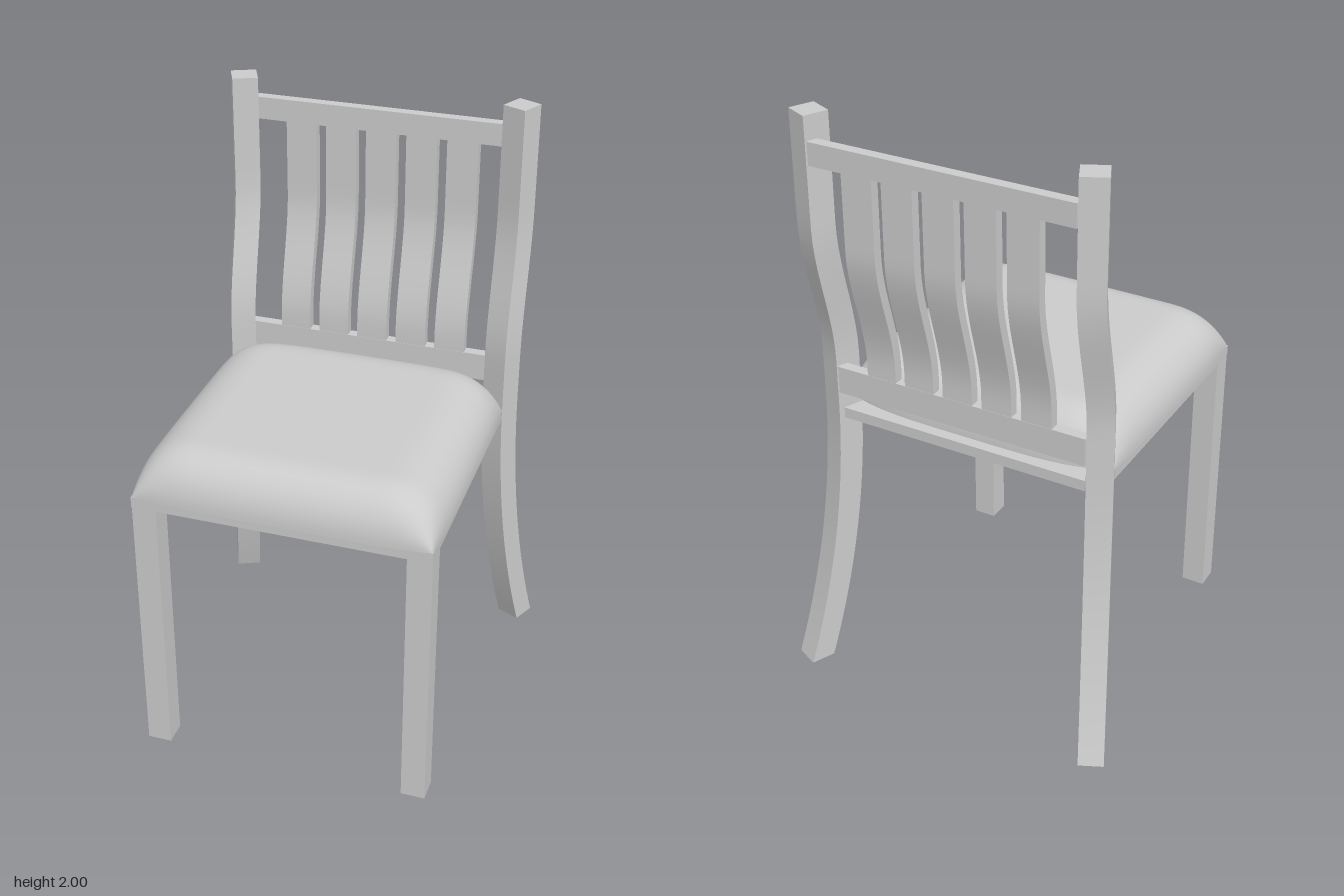
import * as THREE from 'three';

const material = new THREE.MeshStandardMaterial({ color: 0xcccccc, side: THREE.DoubleSide });

function addMesh(parent, name, geometry, x = 0, y = 0, z = 0) {
  const mesh = new THREE.Mesh(geometry, material);
  mesh.name = name;
  mesh.position.set(x, y, z);
  parent.add(mesh);
  return mesh;
}

// Move every vertex by a rule, then rebuild normals (box edges stay sharp)
function reshape(geometry, rule) {
  const p = geometry.attributes.position;
  const v = new THREE.Vector3();
  for (let i = 0; i < p.count; i++) {
    rule(v.fromBufferAttribute(p, i));
    p.setXYZ(i, v.x, v.y, v.z);
  }
  geometry.computeVertexNormals();
  return geometry;
}

// Rear leg and back post in one: splays out below the seat, leans back above it
function rearLeg(side) {
  const angle = 0.43;
  const geometry = new THREE.BoxGeometry(0.084, 2, 0.084, 1, 40, 1);
  geometry.rotateY(-side * angle).translate(side * 0.4655, 1, -0.3705);
  return reshape(geometry, (v) => {
    const splay = 0.17 * Math.max(0, 1 - v.y) ** 2;
    const lean = 0.082 * THREE.MathUtils.smoothstep(v.y, 1.15, 1.65);
    v.x += side * splay * Math.sin(angle);
    v.z -= splay * Math.cos(angle) + lean;
  });
}

// Thin slat with an S curve from the lower rail to the upper rail
function slat() {
  const geometry = new THREE.BoxGeometry(0.104, 0.75, 0.034, 1, 24, 1).translate(0, 1.485, -0.408);
  return reshape(geometry, (v) => {
    v.z -= 0.08 * THREE.MathUtils.smoothstep(v.y, 1.17, 1.6);
  });
}

// Seat board with its rear corners notched around the posts
function seatBoard() {
  const half = [[0.485, 0.565], [0.485, -0.315], [0.41, -0.35], [0.435, -0.412]];
  const outline = [...half, ...half.map(([x, z]) => [-x, z]).reverse()];
  const shape = new THREE.Shape(outline.map(([x, z]) => new THREE.Vector2(x, -z)));
  return new THREE.ExtrudeGeometry(shape, { depth: 0.037, bevelEnabled: false }).rotateX(-Math.PI / 2);
}

// Domed cushion: flat top, rounded borders and slightly bowed sides
function cushion() {
  const round = (distance, width) => {
    const t = Math.min(1, distance / width);
    return Math.max(0, 1 - (1 - t) ** 2.3) ** (1 / 2.1);
  };
  const geometry = new THREE.PlaneGeometry(2, 2, 56, 56).rotateX(-Math.PI / 2);
  return reshape(geometry, (v) => {
    const u = Math.sin(v.x * Math.PI / 2);
    const w = Math.sin(v.z * Math.PI / 2);
    const halfWidth = 0.483 + 0.011 * (1 - w ** 4);
    const front = 0.563 + 0.014 * (1 - u ** 4);
    const back = -0.318 - 0.057 * (1 - u ** 4);
    v.x = u * halfWidth;
    v.z = THREE.MathUtils.lerp(back, front, (w + 1) / 2);
    const sides = round(halfWidth - Math.abs(v.x), 0.19);
    const ends = round(front - v.z, 0.15) * round(v.z - back, 0.17);
    v.y = 0.97 + 0.16 * sides * ends;
  });
}

export function createModel() {
  const chair = new THREE.Group();
  chair.name = 'chair';

  for (const side of [1, -1]) {
    const label = side > 0 ? 'left' : 'right';
    addMesh(chair, `${label}FrontLeg`, new THREE.BoxGeometry(0.08, 0.94, 0.08), side * 0.445, 0.47, 0.521);
    addMesh(chair, `${label}RearLeg`, rearLeg(side));
  }

  addMesh(chair, 'seatBoard', seatBoard(), 0, 0.935, 0);
  addMesh(chair, 'seatCushion', cushion());

  const back = new THREE.Group();
  back.name = 'backrest';
  chair.add(back);
  addMesh(back, 'upperRail', new THREE.BoxGeometry(0.88, 0.075, 0.036), 0, 1.884, -0.488);
  addMesh(back, 'lowerRail', new THREE.BoxGeometry(0.88, 0.095, 0.036), 0, 1.082, -0.408);
  for (let i = -2; i <= 2; i++) addMesh(back, `slat${i + 3}`, slat(), i * 0.1375);

  return chair;
}
